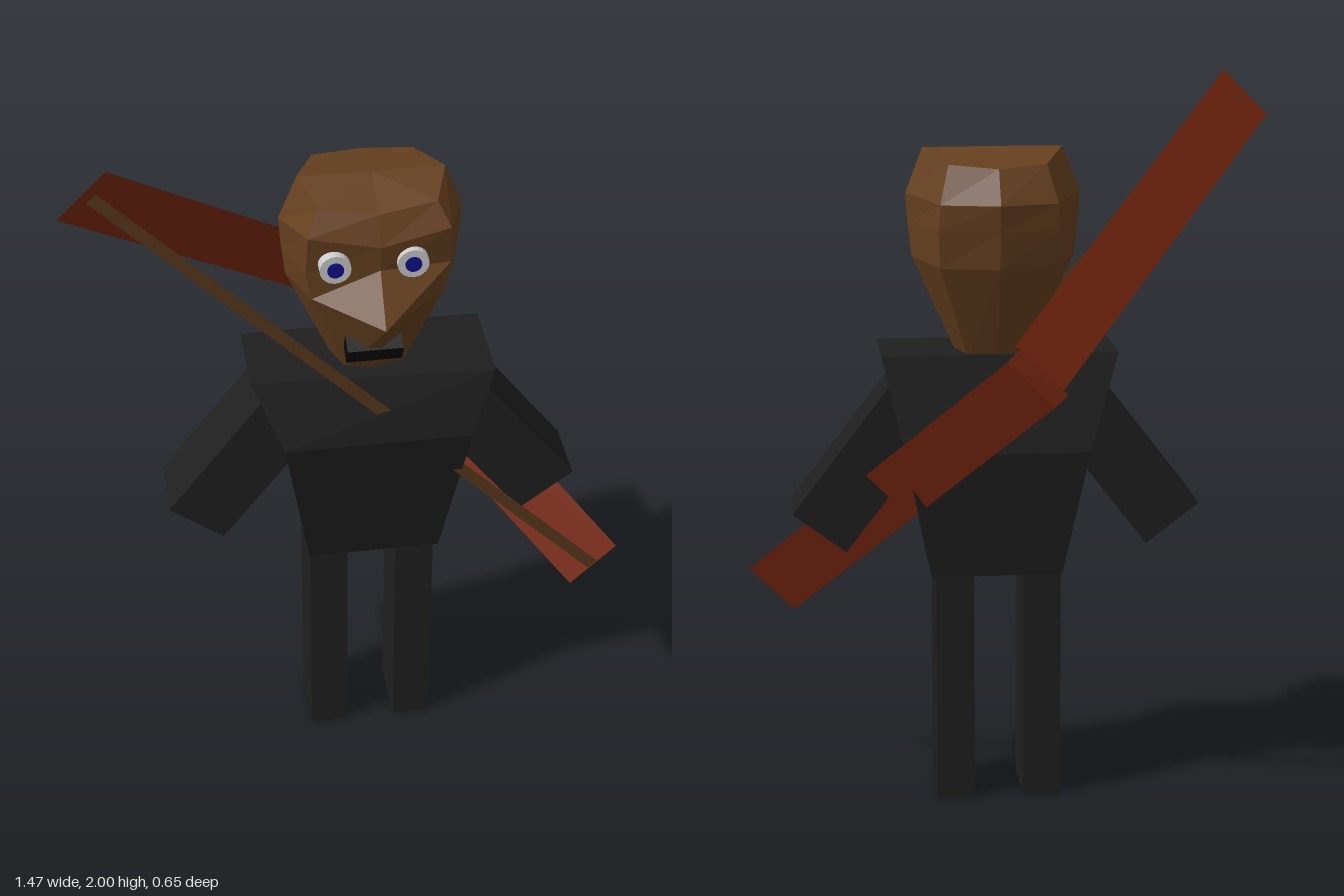
import * as THREE from 'three';

const mat = (color, side = THREE.FrontSide) =>
  new THREE.MeshStandardMaterial({ color, flatShading: true, side });
const CX = 0.05; // centre line of the body

// Closed skin over rings of [x, y, z] points, bottom to top, each ring running front -> +x -> back.
function loft(rings, topCentre) {
  const pos = [];
  const n = rings[0].length;
  const tri = (...pts) => pts.forEach((p) => pos.push(...p));
  const mean = (ring) => [0, 1, 2].map((k) => ring.reduce((s, p) => s + p[k], 0) / n);
  const top = rings[rings.length - 1];
  const lowMid = mean(rings[0]);
  const topMid = topCentre || mean(top);
  for (let j = 0; j < n; j++) {
    const k = (j + 1) % n;
    for (let i = 0; i < rings.length - 1; i++) {
      const [a, b, c, d] = [rings[i][j], rings[i][k], rings[i + 1][k], rings[i + 1][j]];
      tri(a, b, c);
      tri(a, c, d);
    }
    tri(lowMid, rings[0][k], rings[0][j]);
    tri(topMid, top[j], top[k]);
  }
  return finish(pos);
}

// Flat band through centre points, widened by +-w
function ribbon(points, w) {
  const pos = [];
  for (let i = 0; i < points.length - 1; i++) {
    const [p, q] = [points[i], points[i + 1]];
    const off = (v, s) => v.map((c, k) => c + s * w[k]);
    const [a, b, c, d] = [off(p, -1), off(q, -1), off(q, 1), off(p, 1)];
    [a, b, c, a, c, d].forEach((v) => pos.push(...v));
  }
  return finish(pos);
}

function finish(pos) {
  const g = new THREE.BufferGeometry();
  g.setAttribute('position', new THREE.Float32BufferAttribute(pos, 3));
  g.computeVertexNormals();
  return g;
}

export function createModel() {
  const model = new THREE.Group();
  model.name = 'archer';
  const add = (name, geometry, material, x = 0, y = 0, z = 0) => {
    const m = new THREE.Mesh(geometry, material);
    m.name = name;
    m.position.set(x, y, z);
    model.add(m);
    return m;
  };
  const cloth = mat(0x1f1f1f);
  const skin = mat(0x66401f);
  const wood = mat(0x7a2810, THREE.DoubleSide);

  // Torso: narrow waist, deep chest, wide shoulders
  const box = (y, x0, x1, zFrontR, zFrontL, zBack, dy = 0) => [
    [x0, y + dy, zFrontR], [x1, y + dy, zFrontL], [x1, y - dy, zBack], [x0, y - dy, zBack],
  ];
  add('torso', loft([
    box(0.655, -0.13, 0.23, 0.17, 0.17, -0.045),
    box(1.05, -0.2, 0.3, 0.245, 0.245, -0.09, 0.04),
    box(1.275, -0.28, 0.36, 0.18, 0.21, -0.045),
  ]), cloth);

  // Legs and angled arms
  for (const s of [-1, 1]) {
    const side = s > 0 ? 'left' : 'right';
    add(side + 'Leg', new THREE.BoxGeometry(0.105, 0.68, 0.19), cloth, CX - 0.005 + s * 0.12, 0.34, 0.065);
    const arm = add(side + 'Arm', new THREE.BoxGeometry(0.182, 0.47, 0.185), cloth, CX + s * 0.341, 0.976, 0.05);
    arm.rotation.z = s * 0.655;
  }

  // Head ring: front, front corner, side, back corner, back, mirrored to the other side
  const headRing = (front, fc, side, bc, back) => {
    const at = ([x, y, z], s) => [CX + s * x, y, z];
    return [at(front, 1), at(fc, 1), at(side, 1), at(bc, 1), at(back, 1), at(bc, -1), at(side, -1), at(fc, -1)];
  };
  add('head', loft([
    headRing([0, 1.26, 0.145], [0.075, 1.26, 0.125], [0.1, 1.26, 0.06], [0.075, 1.26, -0.02], [0, 1.26, -0.035]),
    headRing([0, 1.51, 0.325], [0.17, 1.54, 0.2], [0.22, 1.53, 0.06], [0.155, 1.52, -0.105], [0, 1.52, -0.145]),
    headRing([0, 1.63, 0.23], [0.185, 1.62, 0.2], [0.23, 1.62, 0.06], [0.16, 1.62, -0.12], [0, 1.62, -0.155]),
    headRing([0, 1.7, 0.235], [0.18, 1.73, 0.215], [0.235, 1.7, 0.06], [0.155, 1.69, -0.125], [0, 1.69, -0.163]),
    headRing([0, 1.775, 0.2], [0.15, 1.79, 0.18], [0.188, 1.82, 0.065], [0.13, 1.79, -0.08], [0, 1.78, -0.11]),
  ], [CX, 1.82, 0.07]), skin);

  // Eyes with pupils
  const disc = (r, depth) => new THREE.CylinderGeometry(r, r, depth, 20).rotateX(Math.PI / 2);
  for (const s of [-1, 1]) {
    const side = s > 0 ? 'left' : 'right';
    const x = 0.033 + s * 0.098;
    add(side + 'Eye', disc(0.04, 0.04), mat(0xcccccc), x, 1.65, 0.222);
    add(side + 'Pupil', disc(0.021, 0.01), mat(0x10108a), x, 1.65, 0.241);
  }

  // Mouth on the sloping underside of the face
  const mouth = add('mouth', new THREE.BoxGeometry(0.145, 0.06, 0.08), mat(0x080808), 0.037, 1.393, 0.2);
  mouth.rotation.x = 0.5;

  // Bow: two flat limbs meeting at a short grip behind the back
  add('bow', ribbon([
    [-0.675, 1.938, 0.265], [-0.03, 1.285, -0.305], [-0.045, 1.285, -0.325],
    [-0.01, 1.25, -0.322], [0.667, 0.557, 0.212],
  ], [0.062, 0.062, 0]), wood);

  // Bowstring across the chest
  add('bowstring', ribbon([[-0.655, 1.92, 0.245], [0.665, 0.56, 0.213]], [0.012, 0.012, 0]),
    mat(0x5a3a1c, THREE.DoubleSide));

  return model;
}
